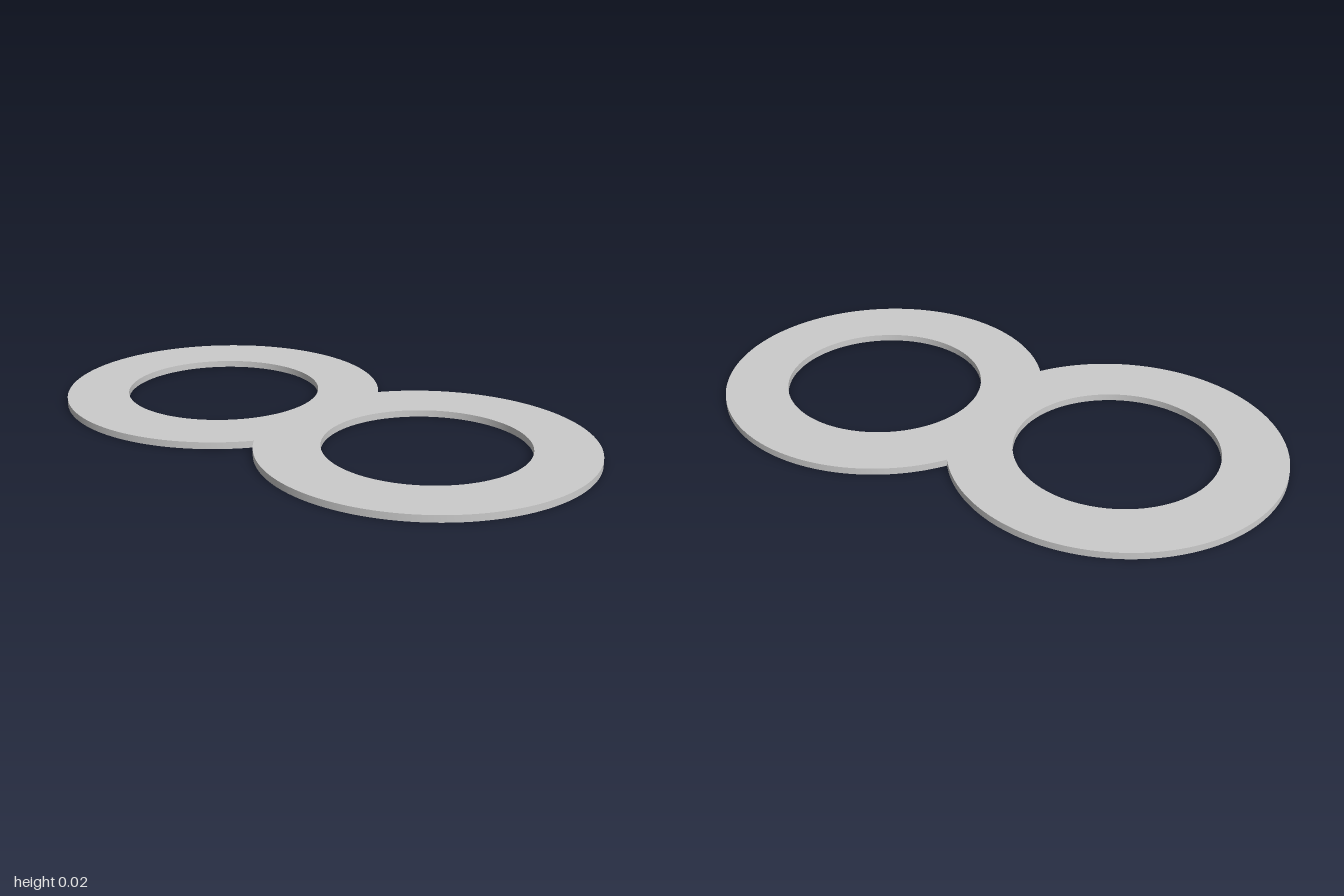
import * as THREE from 'three';
import { toCreasedNormals } from 'three/addons/utils/BufferGeometryUtils.js';

const OUTER = 0.553, HOLE = 0.338, THICKNESS = 0.023;
const CX = 0.447, CY = 0.0135; // centre of one ring; the other is point-mirrored

export function createModel() {
  const group = new THREE.Group();
  const tilt = Math.atan2(CY, CX);
  const half = Math.acos(Math.hypot(CX, CY) / OUTER); // half-angle of the overlap

  // Outline: two arcs meeting at the waist notches, with a hole in each ring
  const outline = new THREE.Shape();
  for (const s of [1, -1]) {
    const inward = tilt + (s > 0 ? Math.PI : 0);
    outline.absarc(s * CX, s * CY, OUTER, inward + half, inward - half + Math.PI * 2, false);
    const hole = new THREE.Path();
    hole.absarc(s * CX, s * CY, HOLE, 0, Math.PI * 2, true);
    outline.holes.push(hole);
  }

  // Flat plate laid on the ground, smooth round walls with sharp rims
  const geometry = new THREE.ExtrudeGeometry(outline, {
    depth: THICKNESS, bevelEnabled: false, curveSegments: 96,
  });
  geometry.rotateX(-Math.PI / 2);
  const plate = new THREE.Mesh(
    toCreasedNormals(geometry, Math.PI / 6),
    new THREE.MeshStandardMaterial({ color: 0xcccccc }),
  );
  plate.name = 'doubleRingPlate';
  group.add(plate);
  return group;
}
